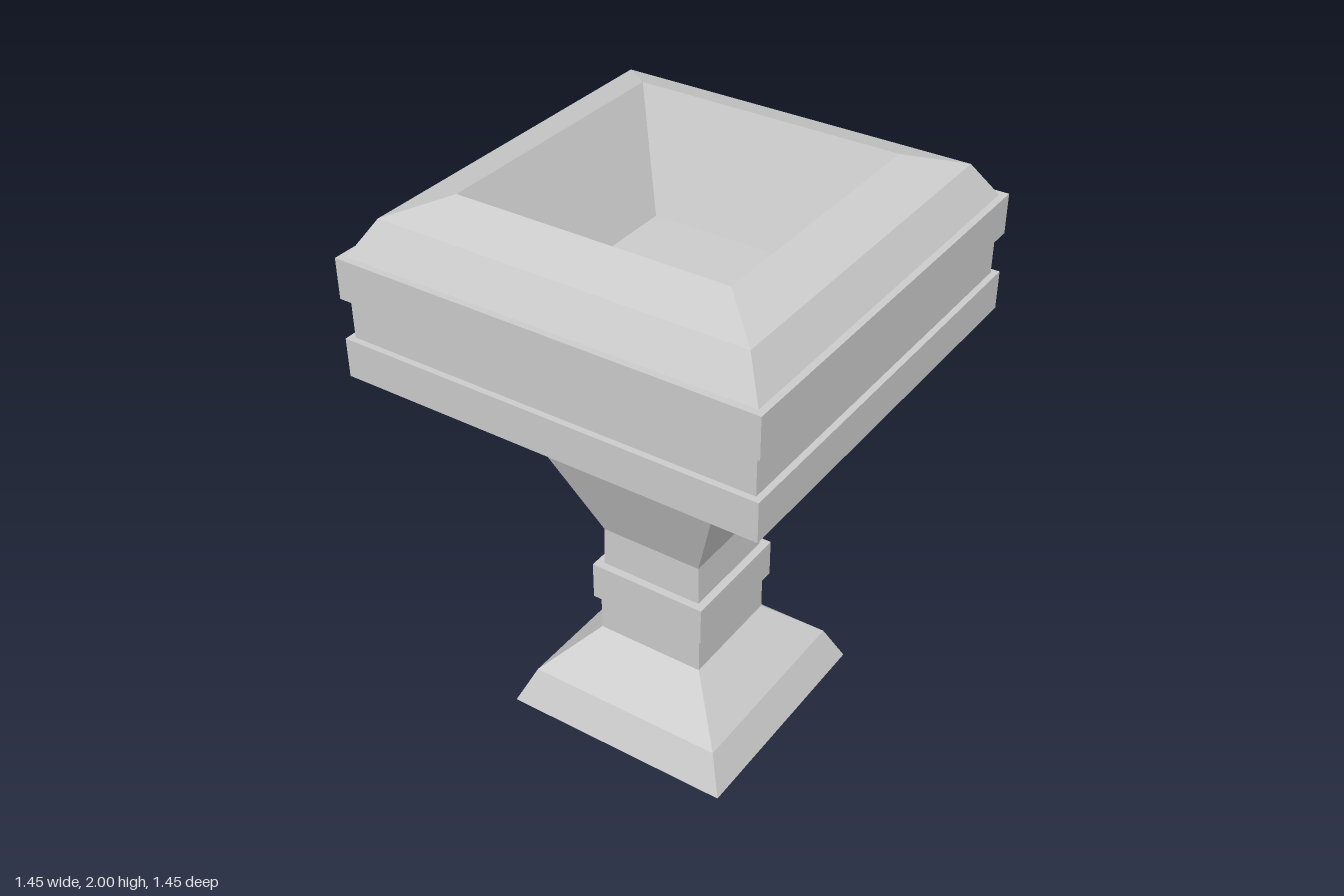
import * as THREE from 'three';

const material = new THREE.MeshStandardMaterial({ color: 0xcccccc, flatShading: true });

// Square section swept up a profile of [half width, height] pairs
function squareTurned(name, profile) {
  const points = profile.map(([half, y]) => new THREE.Vector2(half * Math.SQRT2, y));
  const geometry = new THREE.LatheGeometry(points, 4, Math.PI / 4);
  const mesh = new THREE.Mesh(geometry, material);
  mesh.name = name;
  return mesh;
}

export function createModel() {
  const group = new THREE.Group();
  group.name = 'squarePlanter';

  // Each part starts where the one below it ends, so the skin is continuous
  group.add(
    squareTurned('foot', [[0, 0], [0.423, 0], [0.365, 0.13], [0.2, 0.29]]),
    squareTurned('lowerStem', [[0.2, 0.29], [0.2, 0.432]]),
    squareTurned('stemCollar', [[0.2, 0.432], [0.218, 0.432], [0.218, 0.572], [0.19, 0.572]]),
    squareTurned('upperStem', [[0.19, 0.572], [0.187, 0.717]]),
    squareTurned('bowlUnderside', [[0.187, 0.717], [0.35, 1.138], [0.703, 1.424]]),
    squareTurned('lowerBand', [[0.703, 1.424], [0.723, 1.424], [0.723, 1.557], [0.702, 1.557]]),
    squareTurned('bowlWall', [[0.702, 1.557], [0.702, 1.694]]),
    squareTurned('upperBand', [[0.702, 1.694], [0.723, 1.694], [0.723, 1.831], [0.7, 1.831]]),
    squareTurned('rim', [[0.7, 1.831], [0.628, 1.945], [0.466, 2]]),
    squareTurned('basin', [[0.466, 2], [0.312, 1.63], [0, 1.63]]),
  );
  return group;
}
